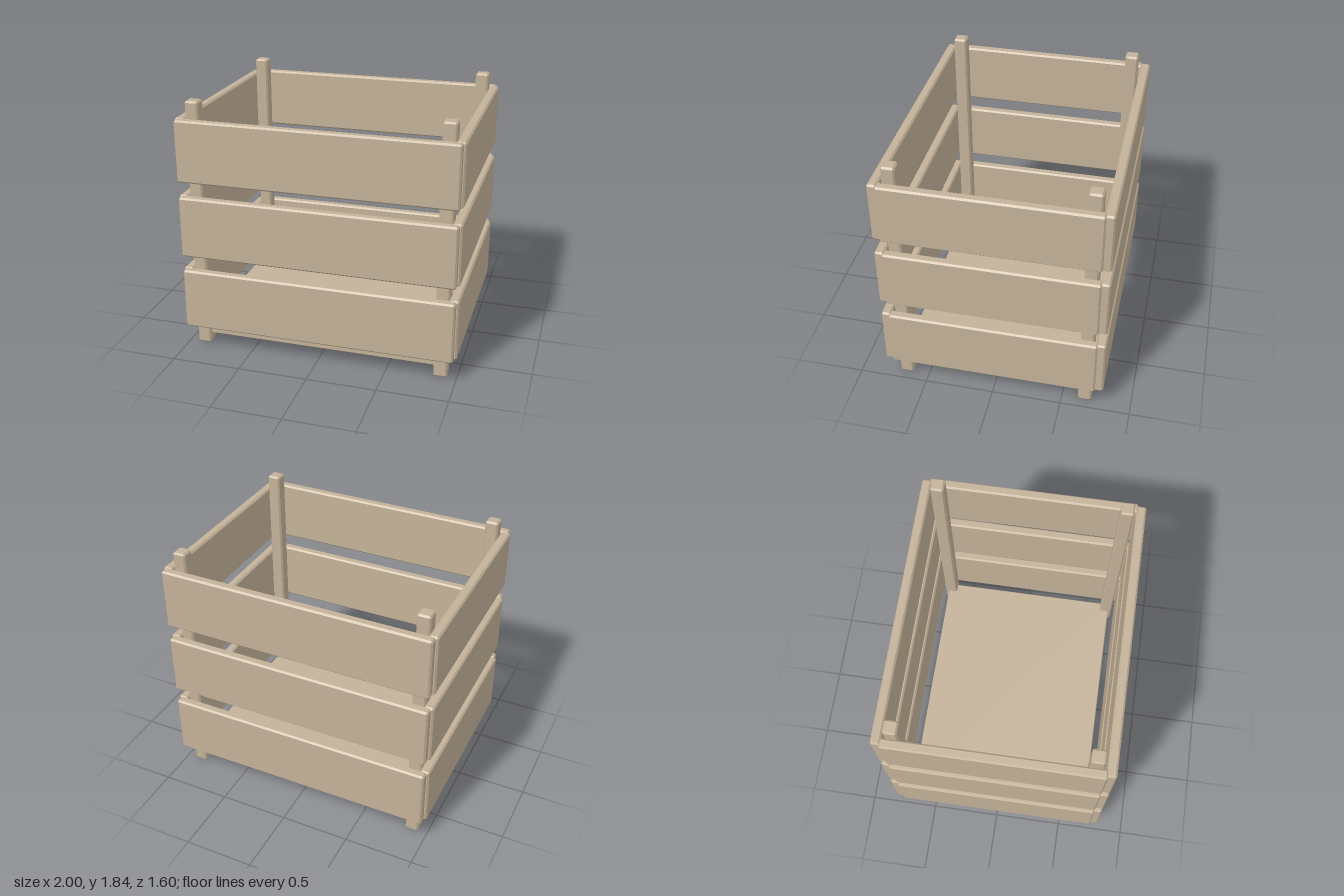
import * as THREE from 'three';
import { ConvexGeometry } from 'three/addons/geometries/ConvexGeometry.js';

// Box with chamfered edges: each corner becomes three points
function chamferedBox(w, h, d, c = 0.012) {
  const x = w / 2, y = h / 2, z = d / 2;
  const points = [];
  for (const sx of [-1, 1]) for (const sy of [-1, 1]) for (const sz of [-1, 1]) {
    points.push(
      new THREE.Vector3(sx * x, sy * (y - c), sz * (z - c)),
      new THREE.Vector3(sx * (x - c), sy * y, sz * (z - c)),
      new THREE.Vector3(sx * (x - c), sy * (y - c), sz * z)
    );
  }
  return new ConvexGeometry(points);
}

export function createModel() {
  const crate = new THREE.Group();
  crate.name = 'slattedCrate';

  const wood = new THREE.MeshStandardMaterial({ color: 0xc4b299 });
  wood.name = 'pale wood';

  const add = (name, geometry, x, y, z) => {
    const mesh = new THREE.Mesh(geometry, wood);
    mesh.name = name;
    mesh.position.set(x, y, z);
    crate.add(mesh);
  };

  // Corner posts
  const post = chamferedBox(0.096, 1.84, 0.096);
  for (const sx of [-1, 1]) for (const sz of [-1, 1]) {
    add('cornerPost', post, sx * 0.885, 0.92, sz * 0.666);
  }

  // Three rows of planks around the posts
  const longPlank = chamferedBox(1.964, 0.446, 0.068);
  const sidePlank = chamferedBox(0.068, 0.446, 1.486);
  for (const y of [0.389, 0.945, 1.502]) {
    for (const s of [-1, 1]) {
      add(s > 0 ? 'frontPlank' : 'backPlank', longPlank, 0, y, s * 0.766);
      add(s > 0 ? 'leftPlank' : 'rightPlank', sidePlank, s * 0.966, y, 0);
    }
  }

  // Floor board
  add('floor', chamferedBox(1.806, 0.074, 1.376, 0.006), 0, 0.109, 0);

  return crate;
}
